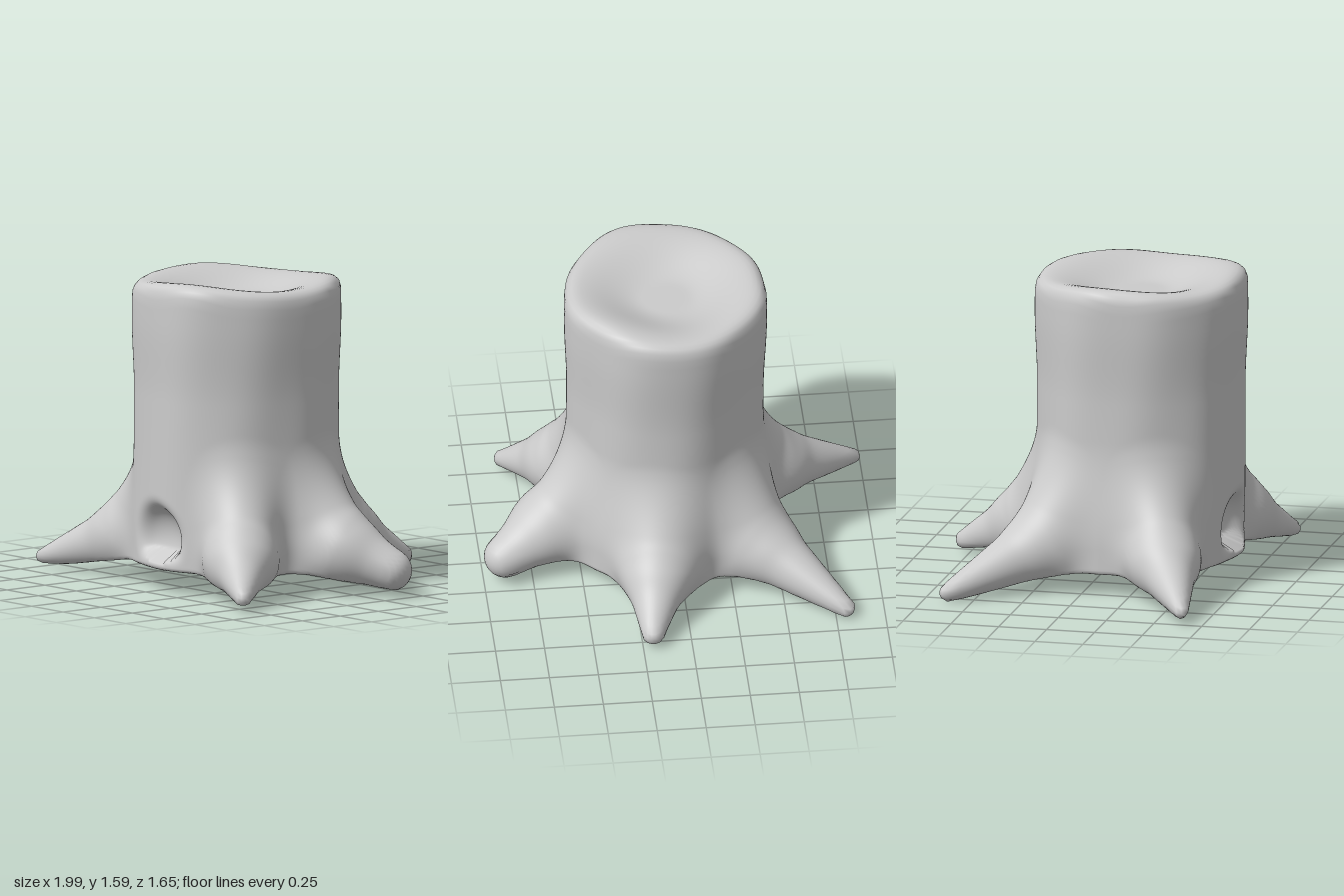
import * as THREE from 'three';
import { mergeVertices } from 'three/addons/utils/BufferGeometryUtils.js';

const AXIS = new THREE.Vector3(0.04, 0.4, 0.18); // heart of the stump
const { clamp, lerp, smoothstep } = THREE.MathUtils;

// Soft union and soft intersection of two distances
const smin = (a, b, k) => {
  const h = Math.max(k - Math.abs(a - b), 0) / k;
  return Math.min(a, b) - h * h * k * 0.25;
};
const smax = (a, b, k) => -smin(-a, -b, k);

// Roots: tip position and tip radius, each a bent tapering limb of three nodes
const roots = [
  { tip: [-0.8, 0.065, -0.62], r: 0.05 },
  { tip: [0.195, 0.085, -0.765], r: 0.06 },
  { tip: [0.885, 0.15, -0.13], r: 0.11, mid: [0.66, 0.24, -0.01] },
  { tip: [0.81, 0.085, 0.78], r: 0.045 },
  { tip: [-0.96, 0.08, 0.63], r: 0.04 },
].map(({ tip, r, mid }) => {
  const dx = tip[0] - AXIS.x, dz = tip[2] - AXIS.z, len = Math.hypot(dx, dz);
  const at = (d, y) => new THREE.Vector3(AXIS.x + dx / len * d, y, AXIS.z + dz / len * d);
  return [
    { p: at(0.35, 0.6), r: 0.15 },
    { p: mid ? new THREE.Vector3(...mid) : at(0.62, 0.22), r: 0.18 },
    { p: new THREE.Vector3(...tip), r },
  ];
});

const ab = new THREE.Vector3(), ap = new THREE.Vector3();
function limb(p, a, b) {
  ab.subVectors(b.p, a.p);
  ap.subVectors(p, a.p);
  const t = clamp(ap.dot(ab) / ab.lengthSq(), 0, 1);
  return ap.addScaledVector(ab, -t).length() - lerp(a.r, b.r, t);
}

function stumpDistance(p) {
  const x = p.x - AXIS.x, z = p.z - AXIS.z;
  const rad = Math.hypot(x, z), a = Math.atan2(z, x);

  // Slightly wavy trunk, flaring at the foot except at the front
  const flare = 0.08 * clamp(0.6 - 0.6 * Math.sin(a), 0, 1) * (1 - smoothstep(p.y, 0.25, 0.8));
  const girth = 0.503 + 0.014 * smoothstep(p.y, 1.0, 1.4) + flare
    + 0.006 * Math.cos(5 * a + 1) + 0.004 * Math.cos(8 * a + p.y * 2);
  let d = Math.hypot(x, z / 1.045) - girth;

  // Dished top with an uneven rim, highest at the front
  const wave = 0.014 * Math.cos(3 * (a - 1.25)) + 0.008 * Math.sin(a);
  const top = 1.583 + wave * smoothstep(rad, 0.1, 0.45) - 0.09 * (1 - smoothstep(rad, 0.12, 0.46));
  d = smax(d, p.y - top, 0.075);

  // Spreading roots
  for (const [a0, a1, a2] of roots) {
    d = smin(d, smin(limb(p, a0, a1), limb(p, a1, a2), 0.06), 0.14);
  }

  // Underside, dropping from the trunk towards the root tips
  d = smax(d, 0.14 - 0.2 * Math.max(0, rad - 0.47) - p.y, 0.02);

  // Arched hollow at the front with a flat sill
  const arch = (Math.hypot((p.x - 0.01) / 0.175, (p.y - 0.29) / 0.165, (p.z - 0.71) / 0.13) - 1) * 0.13;
  return smax(d, -smax(arch, 0.2 - p.y, 0.04), 0.05);
}

// Moves p to the surface along a direction from the heart
function castToSurface(dir, p) {
  const distanceAt = (t) => stumpDistance(p.copy(AXIS).addScaledVector(dir, t));
  let near = 0, far = 0;
  while (far < 2) {
    const d = distanceAt(far);
    if (d > 0) break;
    near = far;
    far += Math.max(0.003, -d * 0.5);
  }
  for (let i = 0; i < 12; i++) {
    const m = (near + far) / 2;
    if (distanceAt(m) > 0) far = m;
    else near = m;
  }
  p.copy(AXIS).addScaledVector(dir, near);
}

export function createModel() {
  // A fine ball pushed out to the stump's surface
  let geo = new THREE.SphereGeometry(1, 300, 170);
  geo.deleteAttribute('uv');
  geo.deleteAttribute('normal');
  geo = mergeVertices(geo, 1e-4);
  const pos = geo.attributes.position;
  const dir = new THREE.Vector3(), p = new THREE.Vector3();
  for (let i = 0; i < pos.count; i++) {
    dir.fromBufferAttribute(pos, i).normalize();
    castToSurface(dir, p);
    pos.setXYZ(i, p.x, p.y, p.z);
  }

  // Stand on the ground, centred
  geo.computeBoundingBox();
  const { min, max } = geo.boundingBox;
  geo.translate(-(min.x + max.x) / 2, -min.y, -(min.z + max.z) / 2);
  geo.computeVertexNormals();

  const stump = new THREE.Mesh(geo, new THREE.MeshStandardMaterial({ color: 0xcccccc }));
  stump.name = 'treeStump';
  const group = new THREE.Group();
  group.name = 'stump';
  group.add(stump);
  return group;
}
